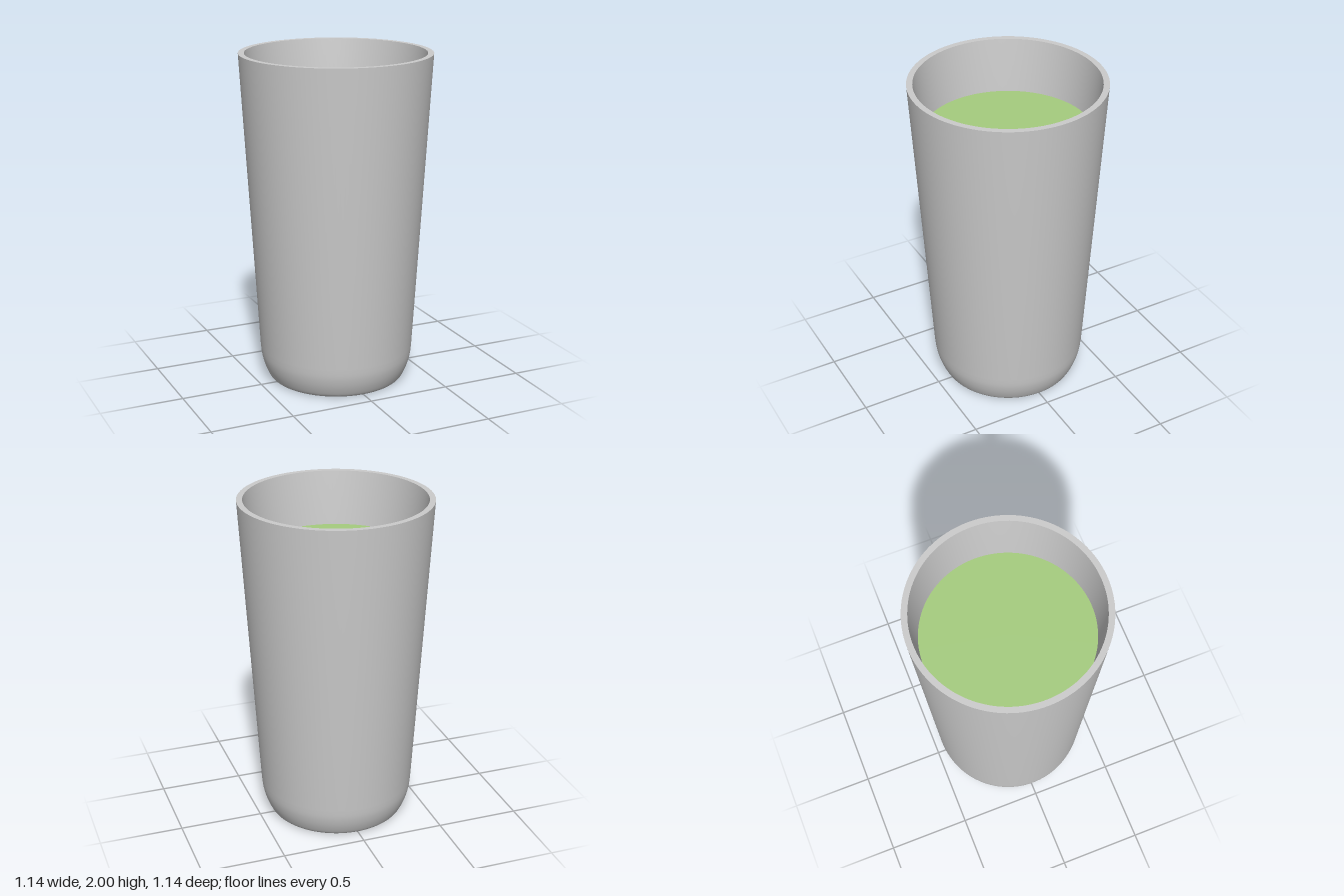
import * as THREE from 'three';
import { toCreasedNormals } from 'three/addons/utils/BufferGeometryUtils.js';

const SEGMENTS = 128;

// Turn a profile of [radius, height] pairs around the y axis, keeping sharp edges crisp
function turned(name, points, color) {
  const lathe = new THREE.LatheGeometry(points.map(([r, y]) => new THREE.Vector2(r, y)), SEGMENTS);
  const mesh = new THREE.Mesh(toCreasedNormals(lathe, 0.6), new THREE.MeshStandardMaterial({ color }));
  mesh.name = name;
  return mesh;
}

// Points along a smooth curve through a few profile points
function smooth(points, divisions) {
  const curve = new THREE.SplineCurve(points.map(([r, y]) => new THREE.Vector2(r, y)));
  return curve.getPoints(divisions).map((p) => [p.x, p.y]);
}

export function createModel() {
  const group = new THREE.Group();
  group.name = 'cupOfDrink';

  // Tapered cup: flat base, rounded foot, straight wall, flat rim, hollow inside
  const foot = smooth([[0.385, 0], [0.402, 0.006], [0.418, 0.025], [0.442, 0.08], [0.458, 0.14], [0.465, 0.2]], 20);
  const cup = turned('cup', [
    [0, 0], ...foot,
    [0.57, 2], [0.535, 2],
    [0.5, 1.67], [0.4, 0.3],
    ...smooth([[0.39, 0.22], [0.36, 0.14], [0.3, 0.1]], 8),
    [0, 0.1],
  ], 0xcccccc);

  // Drink filling the cup up to just below the rim
  const drink = turned('drink', [
    [0, 0.12], [0.3, 0.12], [0.385, 0.3], [0.495, 1.66], [0.5, 1.67], [0, 1.67],
  ], 0xa5cc7e);

  group.add(cup, drink);
  return group;
}
